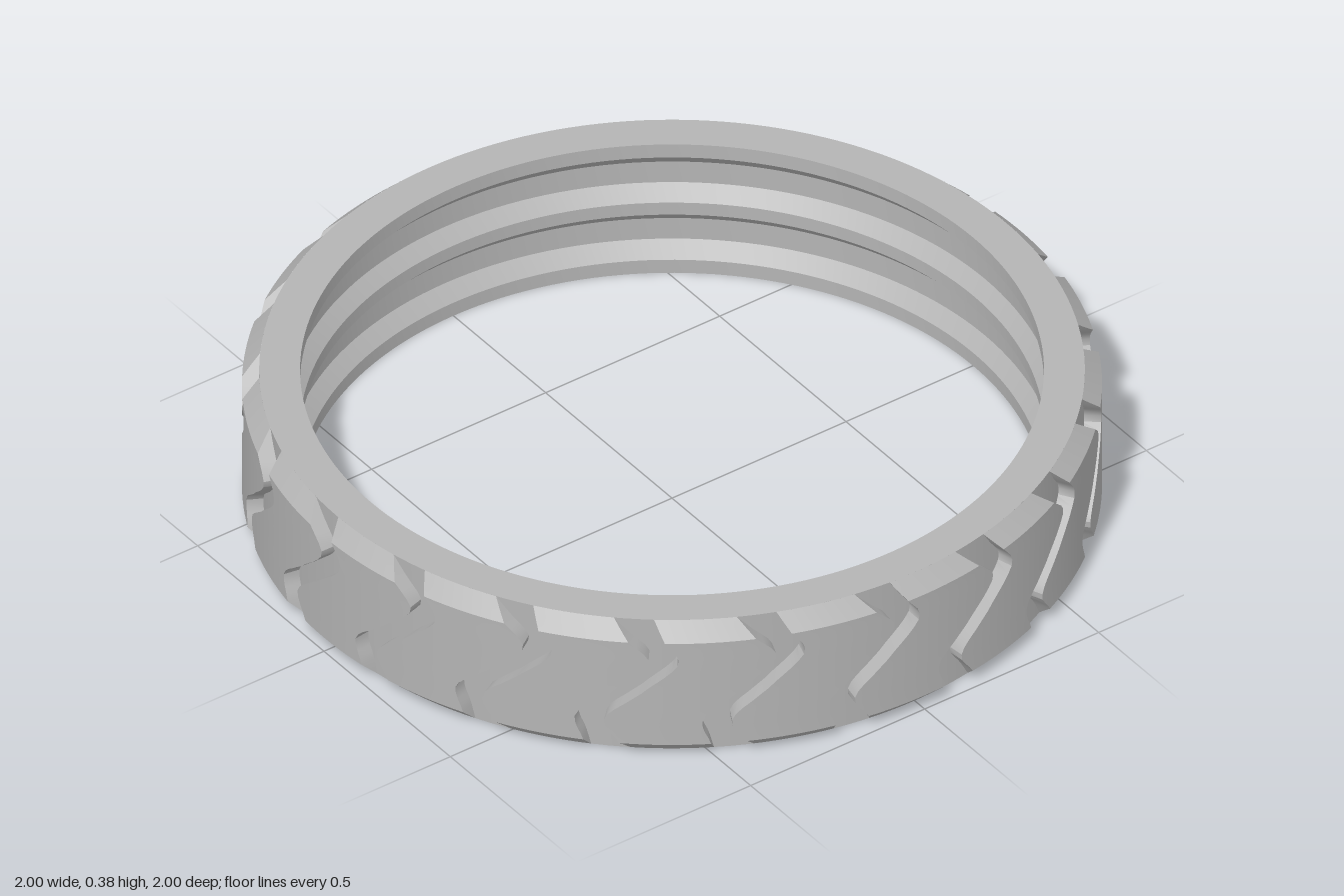
import * as THREE from 'three';
import { toCreasedNormals } from 'three/addons/utils/BufferGeometryUtils.js';

const HEIGHT = 0.375, FLOOR = 0.96, OUTER = 1, INNER = 0.865, CHAMFER = 0.04;
const COUNT = 21, STEP = 360 / COUNT;

// Centre line of one zigzag groove: x = angle in degrees, y = height
const groove = new THREE.CatmullRomCurve3([
  [-5.9, 0], [-7, 0.045], [-8.5, 0.105], [-3.4, 0.19], [1.5, 0.28], [-0.8, 0.335], [-2.7, HEIGHT],
].map(([a, y]) => new THREE.Vector3(a, y * 60, 0)));

// Rows up the tread, with rows exactly on the shoulder edges
function treadRows() {
  const rows = [];
  const samples = groove.getPoints(240);
  const heights = [0, 0.02];
  for (let i = 0; i <= 18; i++) heights.push(CHAMFER + (HEIGHT - 2 * CHAMFER) * i / 18);
  heights.push(HEIGHT - 0.02, HEIGHT);
  for (const y of heights) {
    const p = samples.reduce((a, b) => Math.abs(b.y - y * 60) < Math.abs(a.y - y * 60) ? b : a);
    const edge = Math.min(y, HEIGHT - y);
    rows.push({
      y, angle: p.x,
      half: 2 + 0.8 * Math.max(0, 1 - edge / 0.09),
      radius: FLOOR + (OUTER - FLOOR) * Math.min(1, edge / CHAMFER),
    });
  }
  return rows;
}

// Raised block between two neighbouring grooves
function treadBlockGeometry() {
  const columns = 8, positions = [], index = [];
  const rows = treadRows();
  const add = (deg, r, y) => {
    const a = THREE.MathUtils.degToRad(deg);
    positions.push(Math.sin(a) * r, y, Math.cos(a) * r);
  };
  for (const { y, angle, half, radius } of rows) {
    const start = angle + half, end = angle + STEP - half;
    add(start, FLOOR - 0.008, y);
    for (let j = 0; j <= columns; j++) add(start + (end - start) * j / columns, radius, y);
    add(end, FLOOR - 0.008, y);
  }
  const n = columns + 3;
  for (let i = 0; i < rows.length - 1; i++) {
    for (let j = 0; j < n - 1; j++) {
      const a = i * n + j;
      index.push(a, a + 1, a + n, a + 1, a + n + 1, a + n);
    }
  }
  const geometry = new THREE.BufferGeometry();
  geometry.setAttribute('position', new THREE.Float32BufferAttribute(positions, 3));
  geometry.setIndex(index);
  return toCreasedNormals(geometry, 0.5);
}

// Ring body: flat outside and rims, two sloped recesses inside
function carcassGeometry() {
  const deep = INNER + 0.033;
  const lowerInside = [[INNER, 0.17], [deep, 0.135], [deep, 0.075], [INNER, 0.038], [INNER, 0]];
  const upperInside = lowerInside.map(([r, y]) => [r, HEIGHT - y]).reverse();
  const profile = [[INNER, 0], [FLOOR, 0], [FLOOR, HEIGHT], ...upperInside, ...lowerInside];
  const lathe = new THREE.LatheGeometry(profile.map(([r, y]) => new THREE.Vector2(r, y)), 168);
  return toCreasedNormals(lathe, 0.4);
}

export function createModel() {
  const model = new THREE.Group();
  model.name = 'tyre';
  const rubber = new THREE.MeshStandardMaterial({ color: 0xb4b4b4 });
  rubber.name = 'grey rubber';

  const carcass = new THREE.Mesh(carcassGeometry(), rubber);
  carcass.name = 'carcass';
  model.add(carcass);

  // Tread blocks repeated around the ring
  const tread = new THREE.Group();
  tread.name = 'tread';
  const block = treadBlockGeometry();
  for (let i = 0; i < COUNT; i++) {
    const mesh = new THREE.Mesh(block, rubber);
    mesh.name = 'treadBlock';
    mesh.rotation.y = THREE.MathUtils.degToRad(i * STEP);
    tread.add(mesh);
  }
  model.add(tread);
  return model;
}
